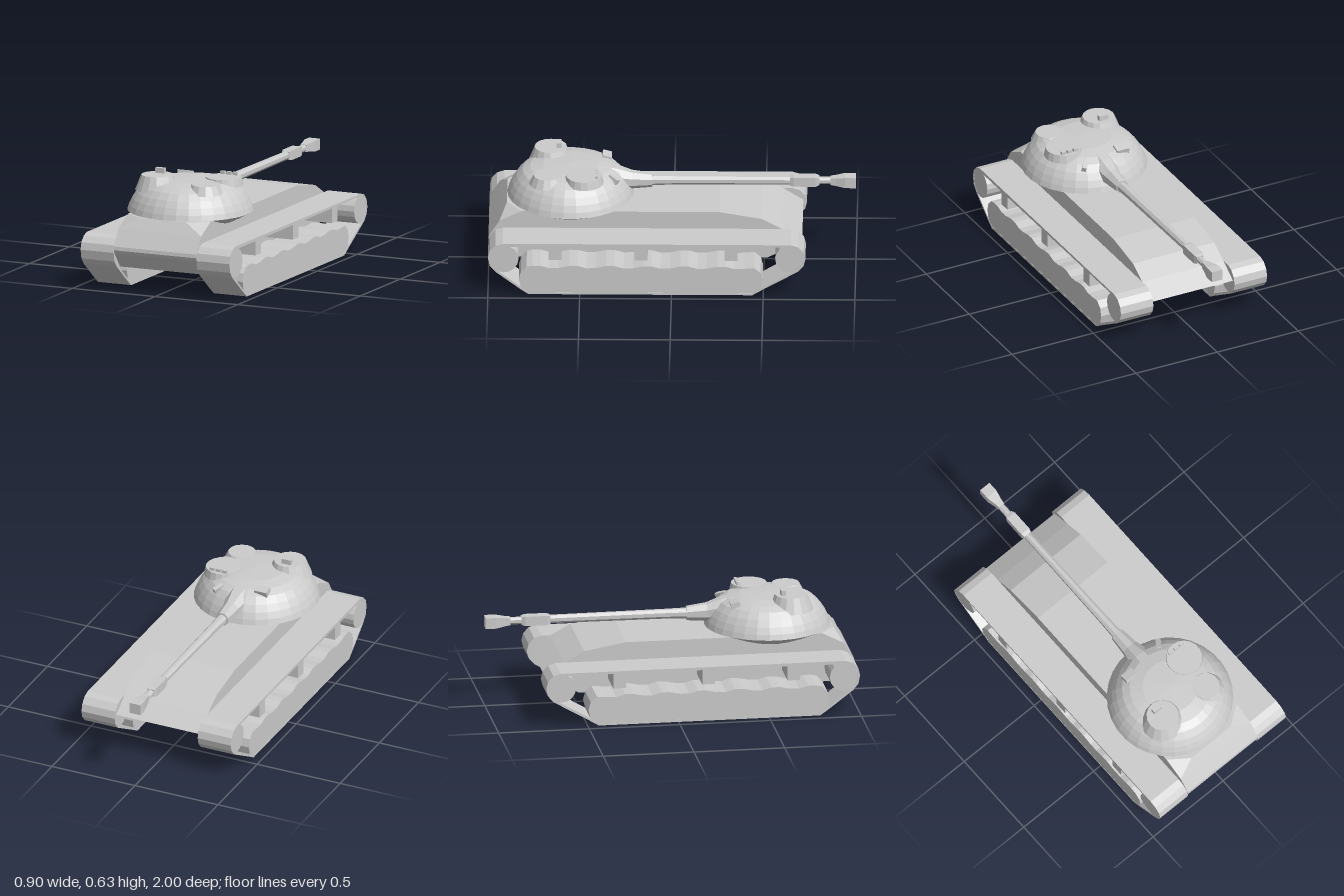
import * as THREE from 'three';
import { ConvexGeometry } from 'three/addons/geometries/ConvexGeometry.js';

const material = new THREE.MeshStandardMaterial({ color: 0xcccccc, flatShading: true, side: THREE.DoubleSide });

function add(parent, name, geometry, x = 0, y = 0, z = 0) {
  const mesh = new THREE.Mesh(geometry, material);
  mesh.name = name;
  mesh.position.set(x, y, z);
  parent.add(mesh);
  return mesh;
}

const box = (w, h, d) => new THREE.BoxGeometry(w, h, d);
const points = (list) => list.map(([a, b]) => new THREE.Vector2(a, b));

// Extrudes a (z, y) outline across x, centred on x = 0
function sideExtrude(outline, width, hole) {
  const shape = new THREE.Shape(points(outline));
  if (hole) shape.holes.push(new THREE.Path(points(hole)));
  const geometry = new THREE.ExtrudeGeometry(shape, { depth: width, bevelEnabled: false });
  return geometry.rotateY(-Math.PI / 2).translate(width / 2, 0, 0);
}

// Skins rings of [z, halfWidth, bottom, top], running from +z to -z; 4 sides gives a box section
function loft(rings, sides) {
  const pos = [], index = [];
  const grow = 1 / Math.cos(Math.PI / sides);
  for (const [z, w, y0, y1] of rings) {
    for (let i = 0; i < sides; i++) {
      const a = ((i + 0.5) / sides) * Math.PI * 2;
      pos.push(Math.cos(a) * w * grow, (y0 + y1) / 2 + Math.sin(a) * ((y1 - y0) / 2) * grow, z);
    }
  }
  for (let r = 0; r < rings.length - 1; r++) {
    for (let i = 0; i < sides; i++) {
      const a = r * sides + i, b = r * sides + ((i + 1) % sides);
      index.push(a, a + sides, b, b, a + sides, b + sides);
    }
  }
  const last = (rings.length - 1) * sides;
  for (let i = 1; i < sides - 1; i++) {
    index.push(0, i, i + 1, last, last + i + 1, last + i);
  }
  const geometry = new THREE.BufferGeometry();
  geometry.setAttribute('position', new THREE.Float32BufferAttribute(pos, 3));
  geometry.setIndex(index);
  geometry.computeVertexNormals();
  return geometry;
}

function buildHull() {
  const half = [
    [0.14, 0.405, 0.9], [0.25, 0.405, 0.82], [0.25, 0.345, 0.94], // cut corner of the deck
    [0.25, 0.255, 0.997], [0.25, 0.235, 1], [0.25, 0.215, 0.99], [0.25, 0.13, 0.92],
    [0.25, 0.13, -0.52], [0.25, 0.235, -0.71], [0.25, 0.305, -0.6],
    [0.25, 0.365, -0.49], [0.25, 0.405, -0.26],
  ];
  const corners = half.flatMap(([x, y, z]) => [new THREE.Vector3(x, y, z), new THREE.Vector3(-x, y, z)]);
  return new ConvexGeometry(corners);
}

function buildTrack(side) {
  const track = new THREE.Group();
  track.name = side > 0 ? 'leftTrack' : 'rightTrack';
  track.position.x = side * 0.35;

  // Thin belt running round the wheels
  const outer = [
    [0.92, 0.305], [0.96, 0.292], [0.99, 0.26], [1, 0.22], [0.99, 0.17], [0.96, 0.135],
    [0.83, 0.035], [0.78, 0], [-0.44, 0], [-0.49, 0.03], [-0.69, 0.145],
    [-0.72, 0.18], [-0.73, 0.22], [-0.72, 0.26], [-0.69, 0.293], [-0.65, 0.305],
  ];
  const inner = [
    [0.92, 0.287], [0.95, 0.28], [0.978, 0.255], [0.987, 0.22], [0.978, 0.175], [0.95, 0.142],
    [0.82, 0.042], [0.776, 0.012], [-0.436, 0.012], [-0.484, 0.042], [-0.682, 0.156],
    [-0.708, 0.185], [-0.717, 0.22], [-0.708, 0.255], [-0.685, 0.28], [-0.65, 0.292],
  ];
  add(track, 'trackBelt', sideExtrude(outer, 0.2, inner));

  // Road wheels as one block with a scalloped top
  const block = [[0.79, 0.006], [0.82, 0.04], [0.832, 0.09], [0.82, 0.135], [0.79, 0.165]];
  const wheels = 6, start = 0.775, pitch = 1.21 / wheels;
  for (let i = 0; i < wheels; i++) {
    const z = start - i * pitch;
    block.push([z - pitch * 0.08, 0.172], [z - pitch * 0.3, 0.172], [z - pitch * 0.55, 0.158], [z - pitch * 0.8, 0.16]);
  }
  block.push([-0.45, 0.165], [-0.485, 0.135], [-0.497, 0.09], [-0.485, 0.04], [-0.45, 0.006]);
  add(track, 'roadWheels', sideExtrude(block, 0.198));

  // End wheels
  for (const [name, z, y, r] of [['idlerWheel', 0.915, 0.213, 0.082], ['driveWheel', -0.645, 0.22, 0.08]]) {
    add(track, name, new THREE.CylinderGeometry(r, r, 0.198, 16).rotateZ(Math.PI / 2), 0, y, z);
  }

  // Supports under the upper run
  for (const z of [0.635, 0.165, -0.325]) add(track, 'trackSupport', box(0.198, 0.085, 0.07), 0, 0.25, z);
  return track;
}

function buildTurret() {
  const turret = new THREE.Group();
  turret.name = 'turret';
  turret.position.z = 0.555;

  // Dome with a conical underside
  const profile = [
    [0, 0.34], [0.24, 0.35], [0.345, 0.405], [0.335, 0.435], [0.318, 0.47], [0.295, 0.505],
    [0.262, 0.54], [0.22, 0.562], [0.15, 0.577], [0, 0.583],
  ];
  add(turret, 'turretDome', new THREE.LatheGeometry(points(profile), 30));

  // Raised hatch with its periscope
  add(turret, 'commanderCupola', new THREE.CylinderGeometry(0.088, 0.122, 0.085, 16), -0.147, 0.5625, 0.11);
  add(turret, 'cupolaPeriscope', box(0.054, 0.03, 0.025), -0.15, 0.618, 0.065);

  // Lower hatch with three vision blocks
  add(turret, 'loaderHatch', new THREE.CylinderGeometry(0.098, 0.108, 0.045, 18), 0.165, 0.5625, -0.075);
  for (const x of [0.127, 0.165, 0.202]) add(turret, 'visionBlock', box(0.028, 0.022, 0.016), x, 0.59, -0.143);

  // Swelling behind the lower hatch
  add(turret, 'rearShoulder', new THREE.CylinderGeometry(0.075, 0.1, 0.05, 14), 0.15, 0.553, 0.125);

  // Sight hood and small wedge beside the gun
  add(turret, 'sightHood', box(0.075, 0.04, 0.05), -0.125, 0.553, -0.195).rotation.x = -0.25;
  add(turret, 'cheekWedge', box(0.025, 0.03, 0.06), 0.12, 0.535, -0.235).rotation.set(-0.4, -0.6, 0);
  return turret;
}

function buildGun() {
  const gun = new THREE.Group();
  gun.name = 'gun';
  add(gun, 'mantlet', loft([
    [0.4, 0.085, 0.42, 0.575], [0.3, 0.065, 0.425, 0.555], [0.22, 0.046, 0.432, 0.527], [0.11, 0.036, 0.44, 0.513],
  ], 8));
  add(gun, 'barrel', loft([
    [0.13, 0.028, 0.447, 0.505], [0, 0.025, 0.453, 0.503], [-0.65, 0.02, 0.456, 0.5], [-0.9, 0.018, 0.46, 0.496],
  ], 8));
  add(gun, 'barrelSleeve', loft([
    [-0.64, 0.022, 0.456, 0.5], [-0.66, 0.028, 0.452, 0.505], [-0.78, 0.028, 0.452, 0.505], [-0.8, 0.02, 0.458, 0.5],
  ], 4));
  add(gun, 'muzzleBrake', loft([
    [-0.86, 0.019, 0.459, 0.498], [-0.89, 0.022, 0.455, 0.501], [-0.94, 0.033, 0.447, 0.508], [-1, 0.033, 0.447, 0.508],
  ], 4));
  return gun;
}

export function createModel() {
  const model = new THREE.Group();
  model.name = 'tank';
  add(model, 'hull', buildHull());
  model.add(buildTrack(1), buildTrack(-1), buildTurret(), buildGun());
  return model;
}
